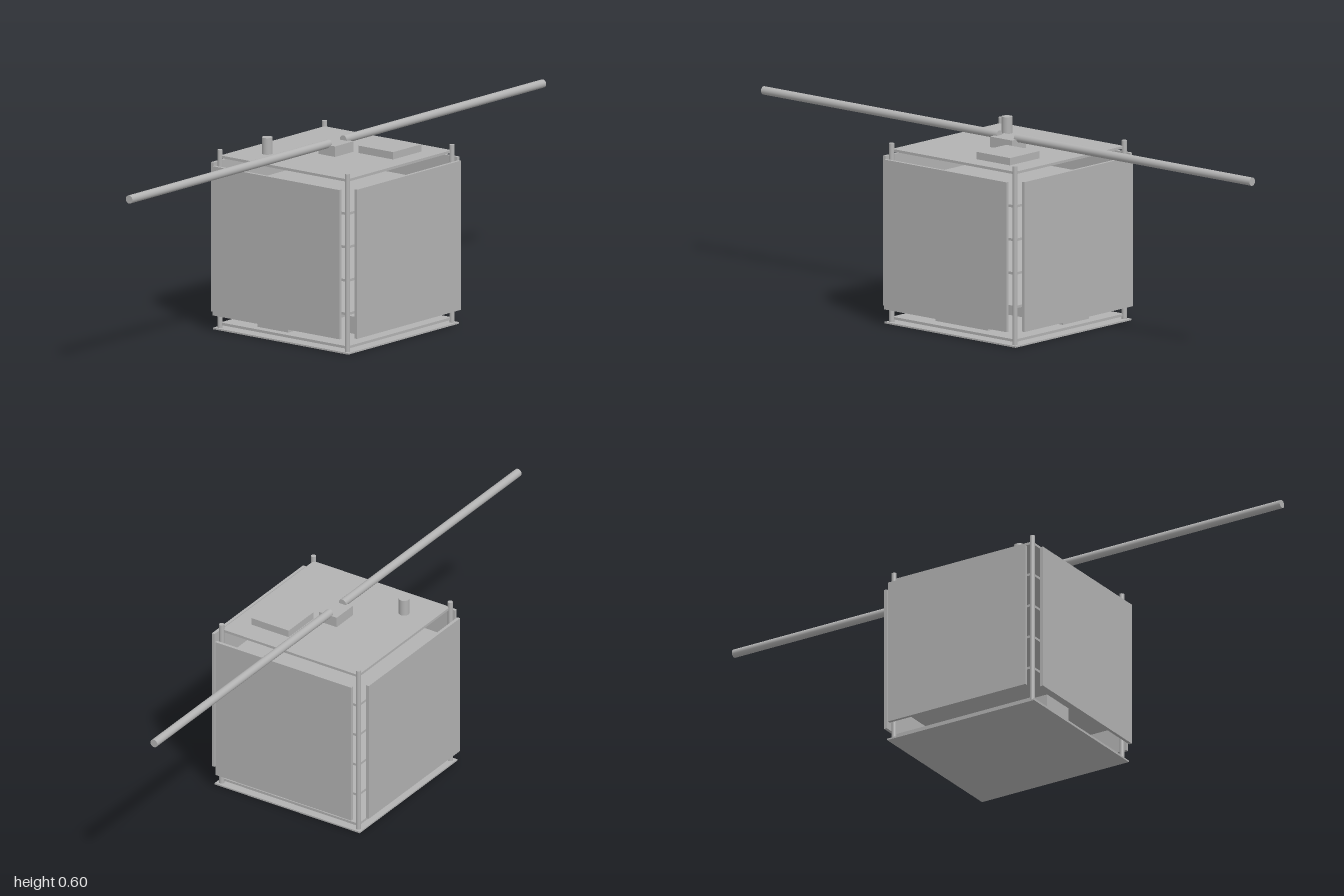
import * as THREE from 'three';

export function createModel() {
  const model = new THREE.Group();
  model.name = 'cubeSatellite';
  const grey = new THREE.MeshStandardMaterial({ color: 0xb2b2b2 });
  grey.name = 'grey';

  const add = (name, geometry, x, y, z) => {
    const mesh = new THREE.Mesh(geometry, grey);
    mesh.name = name;
    mesh.position.set(x, y, z);
    model.add(mesh);
    return mesh;
  };
  // Box given by its lower and upper limits on each axis
  const box = (name, x0, x1, y0, y1, z0, z1) =>
    add(name, new THREE.BoxGeometry(x1 - x0, y1 - y0, z1 - z0),
      (x0 + x1) / 2, (y0 + y1) / 2, (z0 + z1) / 2);

  // Thin base plate
  box('basePlate', -0.268, 0.268, 0, 0.005, -0.268, 0.268);

  // Evenly stacked decks, from the bottom shelf to the roof
  for (let i = 0; i < 6; i++) {
    const y = 0.013 + i * 0.1052;
    box('deck' + (i + 1), -0.252, 0.252, y, y + 0.008, -0.252, 0.252);
  }

  // Corner posts
  for (const sx of [-1, 1]) for (const sz of [-1, 1]) {
    add('cornerPost', new THREE.CylinderGeometry(0.008, 0.008, 0.56, 24), sx * 0.2525, 0.285, sz * 0.2525);
  }

  // Detached side panels
  for (const s of [-1, 1]) {
    add(s > 0 ? 'frontPanel' : 'backPanel', new THREE.BoxGeometry(0.502, 0.47, 0.01), 0, 0.285, s * 0.285);
    add(s > 0 ? 'leftPanel' : 'rightPanel', new THREE.BoxGeometry(0.01, 0.47, 0.502), s * 0.285, 0.285, 0);
  }

  // Equipment on the bottom deck
  box('batteryBox', -0.225, 0.22, 0.021, 0.085, -0.127, -0.005);
  box('controlBox', -0.11, 0.105, 0.021, 0.075, 0.127, 0.21);

  // Roof equipment
  box('patchAntenna', 0.042, 0.178, 0.546, 0.57, 0.055, 0.192);
  box('antennaMount', -0.045, 0.045, 0.546, 0.58, -0.033, 0.033);
  add('sensorTube', new THREE.CylinderGeometry(0.0165, 0.0165, 0.053, 32), -0.142, 0.5725, -0.156);

  // Long rod antennas
  for (const s of [-1, 1]) {
    const rod = add(s > 0 ? 'leftAntenna' : 'rightAntenna',
      new THREE.CylinderGeometry(0.013, 0.013, 0.965, 32), s * 0.5175, 0.5825, 0);
    rod.rotation.z = Math.PI / 2;
  }
  return model;
}
